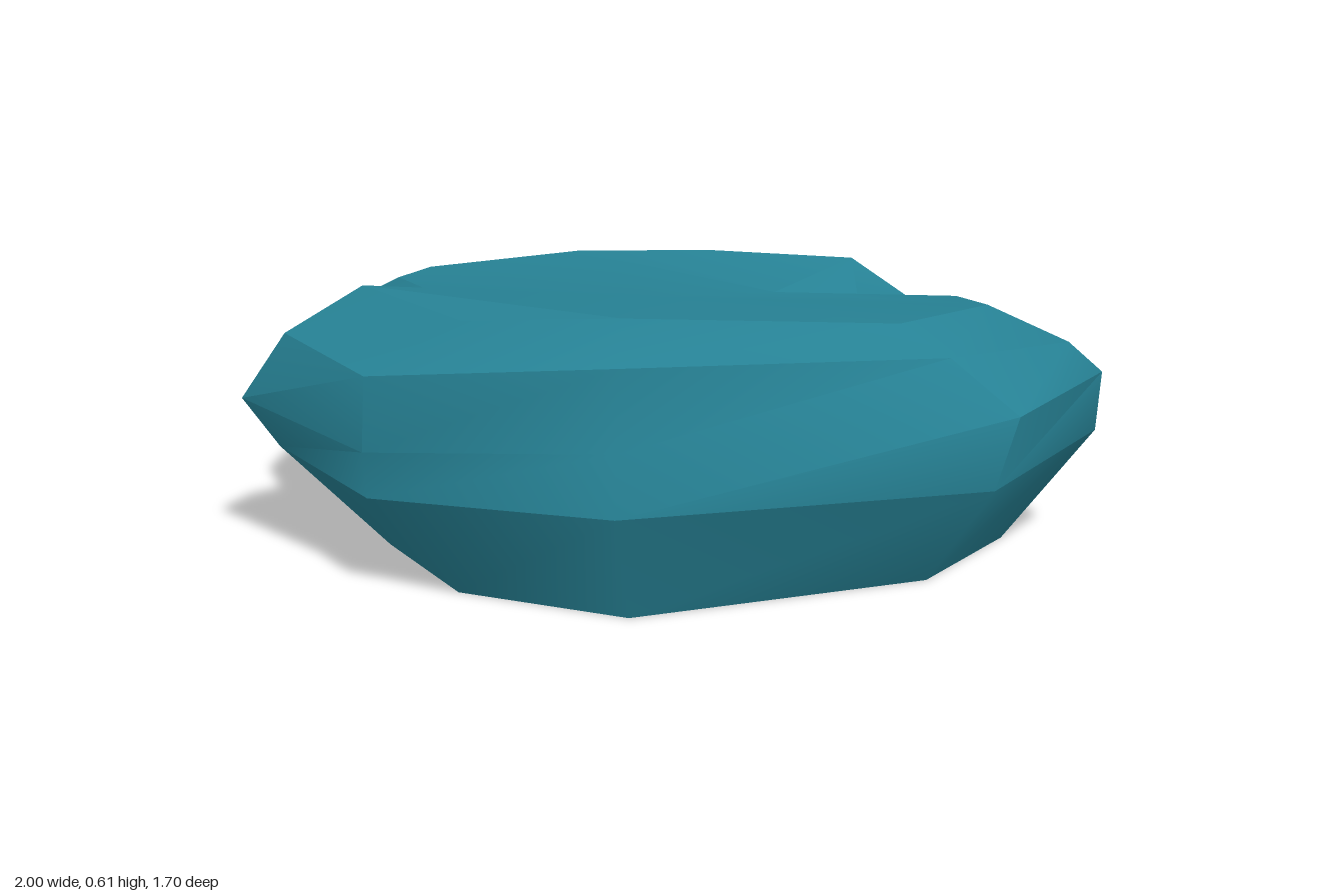
import * as THREE from 'three';
import { toCreasedNormals } from 'three/addons/utils/BufferGeometryUtils.js';

// Cross-sections [x, y, z], running from the left fold round the front,
// right, rear fold and back. Each has 13 columns.
const base = [
  [-.66, 0, .3], [-.44, 0, .63], [-.05, 0, .77], [.59, 0, .47], [.78, 0, .14], [.68, 0, -.34], [.5, .03, -.4],
  [.46, 0, -.6], [0, 0, -.72], [-.36, 0, -.69], [-.65, 0, -.33], [-.66, 0, -.07], [-.53, .02, .15]];
const belly = [
  [-.92, .23, .28], [-.63, .22, .66], [-.07, .24, .85], [.73, .23, .54], [.99, .27, .14], [.82, .25, -.45], [.6, .24, -.48],
  [.47, .23, -.74], [0, .24, -.85], [-.48, .24, -.81], [-.93, .24, -.44], [-.93, .24, -.08], [-.83, .24, .17]];
const middle = [
  [-1, .35, .3], [-.64, .32, .65], [-.07, .37, .81], [.78, .395, .53], [1, .41, .14], [.84, .37, -.46], [.65, .34, -.53],
  [.5, .33, -.77], [0, .34, -.8], [-.48, .34, -.77], [-.95, .33, -.44], [-.98, .35, -.08], [-.87, .35, .17]];
const shoulder = [
  [-.9, .5, .27], [-.64, .48, .61], [-.07, .545, .78], [.63, .51, .47], [.92, .48, .14], [.83, .39, -.46], [.67, .38, -.55],
  [.5, .42, -.77], [0, .45, -.745], [-.48, .45, -.72], [-.94, .42, -.43], [-.95, .43, -.08], [-.83, .45, .16]];
const rim = [
  [-.73, .6, .19], [-.45, .575, .46], [-.08, .61, .58], [.52, .575, .42], [.73, .565, .14], [.69, .475, -.43], [.44, .44, -.45],
  [.42, .53, -.67], [.03, .55, -.65], [-.32, .55, -.61], [-.67, .55, -.34], [-.7, .57, -.08], [-.6, .58, .11]];

// The inner ends of the two folds
const leftApex = [-.04, .57, .13];
const rearApex = [.22, .49, -.37];

// Triangles joining each cross-section to the next one up
function wall(...rings) {
  const points = [];
  for (let j = 0; j < rings.length - 1; j++) {
    const low = rings[j], high = rings[j + 1];
    low.forEach((corner, i) => {
      const k = (i + 1) % low.length;
      points.push(corner, low[k], high[k], corner, high[k], high[i]);
    });
  }
  return points;
}

// Top, fanned to the two fold ends
function crown() {
  const first = 4, last = 9;
  const points = [rim[0], rim[1], rim[2], rim[0], rim[2], leftApex];
  for (let i = 2; i < rim.length; i++) {
    points.push(rim[i], rim[(i + 1) % rim.length], i >= first && i < last ? rearApex : leftApex);
  }
  points.push(rim[first], rearApex, leftApex, rim[last], leftApex, rearApex);
  return points;
}

export function createModel() {
  const group = new THREE.Group();
  group.name = 'foldedShell';
  const teal = new THREE.MeshStandardMaterial({ color: 0x268194, side: THREE.DoubleSide });
  teal.name = 'teal';

  // Each band is smooth round the shell and sharp at its borders and folds
  const addBand = (name, points, crease) => {
    const geometry = new THREE.BufferGeometry();
    geometry.setAttribute('position', new THREE.Float32BufferAttribute(points.flat(), 3));
    const mesh = new THREE.Mesh(toCreasedNormals(geometry, crease), teal);
    mesh.name = name;
    group.add(mesh);
  };
  addBand('lowerWall', wall(base, belly), 0.85);
  addBand('upperWall', wall(belly, middle, shoulder), 0.85);
  addBand('shoulderSlope', wall(shoulder, rim), 0.7);
  addBand('crown', crown(), 0.4);
  return group;
}
